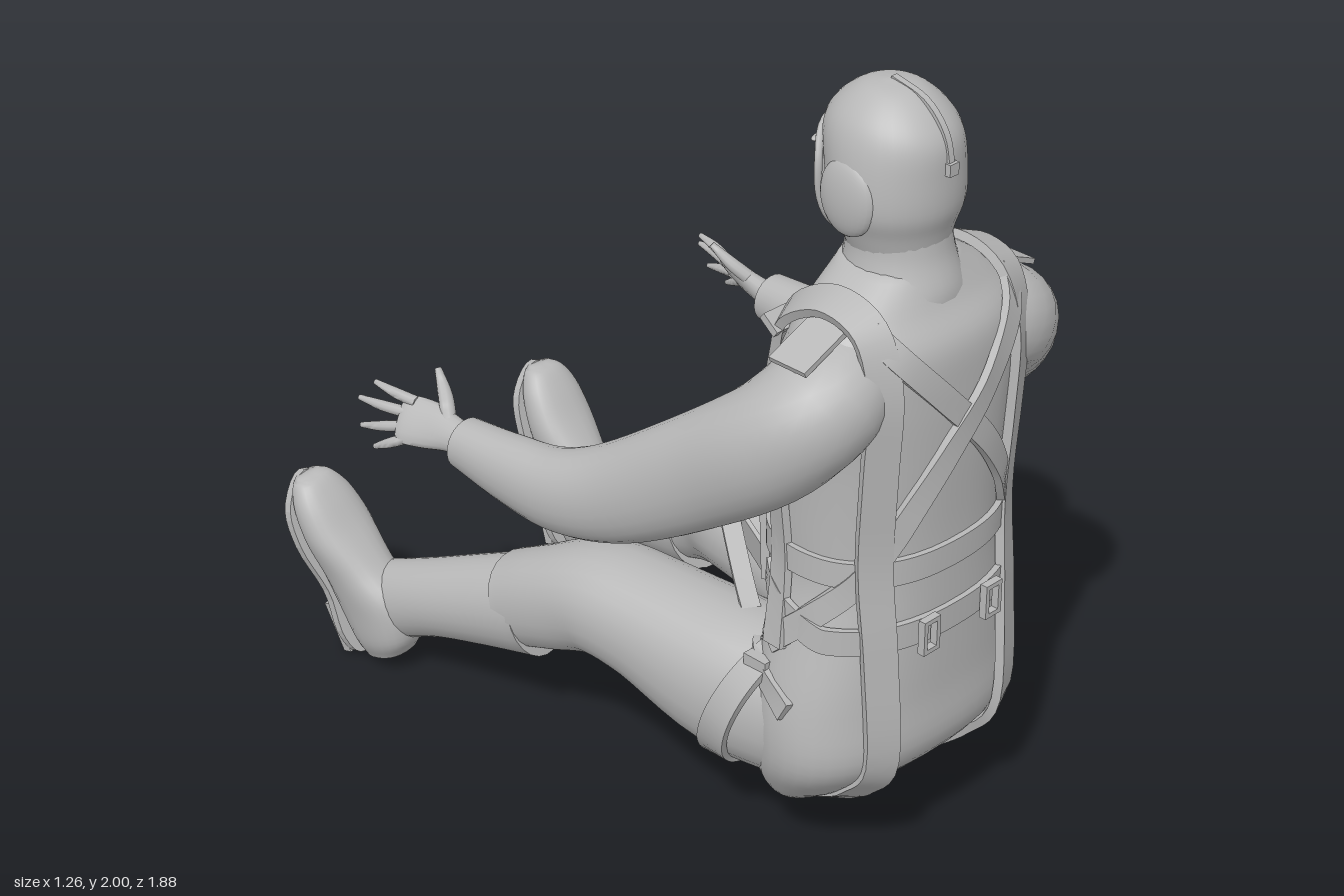
import * as THREE from 'three';
import { toCreasedNormals } from 'three/addons/utils/BufferGeometryUtils.js';

const V = (x, y, z) => new THREE.Vector3(x, y, z);
const Y = V(0, 1, 0), Z = V(0, 0, 1), DOWN = V(0, -1, 0);
const cloth = new THREE.MeshStandardMaterial({ color: 0xb8b8b8 });
cloth.name = 'plain grey';

// Skin a row of sections [x, y, z, halfWidth, halfHeight]; ref gives the height direction.
function loft(rows, { ref = Y, dir = null, seg = 24, n = 2, steps = 5 } = {}) {
  const mid = new THREE.CatmullRomCurve3(rows.map(r => V(r[0], r[1], r[2])), false, 'catmullrom');
  const size = new THREE.CatmullRomCurve3(rows.map(r => V(r[3], r[4], 0)), false, 'catmullrom');
  const count = (rows.length - 1) * steps, pos = [], idx = [];
  for (let i = 0; i <= count; i++) {
    const p = mid.getPoint(i / count), s = size.getPoint(i / count);
    const t = dir || mid.getTangent(i / count);
    const up = (typeof ref === 'function' ? ref(p) : ref.clone()).projectOnPlane(t).normalize();
    const side = up.clone().cross(t);
    for (let j = 0; j < seg; j++) {
      const a = (j + 0.5) / seg * Math.PI * 2, c = Math.cos(a), q = Math.sin(a);
      const v = p.clone()
        .addScaledVector(side, Math.sign(c) * Math.abs(c) ** (2 / n) * s.x)
        .addScaledVector(up, Math.sign(q) * Math.abs(q) ** (2 / n) * s.y);
      pos.push(v.x, v.y, v.z);
      if (i < count) {
        const k = i * seg + j, m = i * seg + (j + 1) % seg;
        idx.push(k, m, k + seg, m, m + seg, k + seg);
      }
    }
  }
  const end = (count + 1) * seg;
  for (const t of [0, 1]) pos.push(...mid.getPoint(t).toArray());
  for (let j = 0; j < seg; j++) {
    const m = (j + 1) % seg, b = count * seg;
    idx.push(end, m, j, end + 1, b + j, b + m);
  }
  const g = new THREE.BufferGeometry();
  g.setAttribute('position', new THREE.Float32BufferAttribute(pos, 3));
  g.setIndex(idx);
  return toCreasedNormals(g, 0.9);
}

// Torso sections, shoulders down to seat
const TORSO = [
  [0, 1.58, .69, .13, .12], [0, 1.5, .70, .25, .15], [0, 1.42, .71, .31, .19],
  [0, 1.3, .695, .33, .215], [0, 1.15, .685, .31, .225], [0, .95, .68, .298, .222],
  [0, .82, .685, .295, .217], [0, .7, .69, .32, .213], [0, .5, .69, .37, .213],
  [0, .34, .695, .375, .206], [0, .23, .645, .33, .165], [0, .15, .615, .26, .08],
  [0, .12, .625, .13, .03],
];
const NT = 2.3;
function torsoAt(y) {
  const i = Math.max(1, TORSO.findIndex(r => r[1] <= y));
  const p = TORSO[i - 1], q = TORSO[i], k = Math.min(1, Math.max(0, (p[1] - y) / (p[1] - q[1])));
  return p.map((v, j) => v + (q[j] - v) * k);
}
// Points on the torso surface: s = 1 on the back, -1 on the chest
function on(x, y, s, off = .01) {
  const [, , zc, a, b] = torsoAt(y);
  const k = Math.min(1, Math.abs(x) / a);
  return [x, y, zc + s * (b * (1 - k ** NT) ** (1 / NT) + off)];
}
function around(deg, y, off = .006) {
  const [, , zc, a, b] = torsoAt(y), r = deg * Math.PI / 180, c = Math.cos(r), q = Math.sin(r);
  return [Math.sign(c) * Math.abs(c) ** (2 / NT) * (a + off), y,
    zc + Math.sign(q) * Math.abs(q) ** (2 / NT) * (b + off)];
}
const outward = p => V(p.x * .6, p.y - Math.min(p.y, 1.3), p.z - .68);
const backOrFront = p => V(p.x * .4, p.y - Math.min(1.3, Math.max(.35, p.y)), p.z - .68);

export function createModel() {
  const root = new THREE.Group();
  root.name = 'seatedFigure';
  const add = (name, geo, parent = root) => {
    const m = new THREE.Mesh(geo, cloth);
    m.name = name;
    parent.add(m);
    return m;
  };
  const strap = (name, pts, w = .035, ref = outward, h = .01) =>
    add(name, loft(pts.map(p => [...p, w, h]), { ref, seg: 4, n: 20 }));
  const box = (name, size, at, rot = [0, 0, 0], parent = root) => {
    const m = add(name, new THREE.BoxGeometry(...size), parent);
    m.position.set(...at);
    m.rotation.set(...rot);
    return m;
  };
  const ball = (name, at, size) => {
    const m = add(name, new THREE.SphereGeometry(1, 24, 16));
    m.position.set(...at);
    m.scale.set(...size);
    return m;
  };
  const tube = (name, pts, r) => add(name, new THREE.TubeGeometry(
    new THREE.CatmullRomCurve3(pts.map(p => V(...p)), true), 40, r, 8, true));
  const down = { ref: Z, dir: DOWN };

  // Body and collar
  add('torso', loft(TORSO, { ...down, seg: 40, n: NT }));
  add('collar', loft([[0, 1.67, .69, .125, .118], [0, 1.6, .695, .128, .125],
    [0, 1.53, .70, .15, .145], [0, 1.48, .70, .2, .15]], down));

  // Helmet and face
  add('helmet', loft([[0, 1.995, .66, .012, .012], [0, 1.98, .66, .07, .075], [0, 1.935, .66, .122, .133],
    [0, 1.88, .665, .15, .163], [0, 1.8, .675, .163, .16], [0, 1.72, .682, .162, .152],
    [0, 1.66, .685, .14, .132], [0, 1.6, .69, .118, .115]], { ...down, seg: 32 }));
  add('face', loft([[0, 1.89, .57, .08, .055], [0, 1.84, .57, .105, .088], [0, 1.79, .57, .108, .09],
    [0, 1.73, .57, .107, .094], [0, 1.68, .57, .092, .097], [0, 1.63, .56, .065, .085],
    [0, 1.598, .55, .03, .045]], down));
  add('nose', loft([[0, 1.81, .49, .01, .012], [0, 1.77, .476, .014, .02],
    [0, 1.735, .467, .02, .025], [0, 1.718, .471, .02, .019], [0, 1.708, .482, .012, .01]], { ...down, seg: 12 }));
  for (const [y, w] of [[1.677, .034], [1.664, .028]]) ball('lip', [0, y, .478], [w, .008, .011]);
  tube('helmetRim', [[0, 1.875, .505], [.075, 1.86, .52], [.117, 1.8, .548], [.117, 1.71, .553],
    [.09, 1.645, .56], [0, 1.592, .545], [-.09, 1.645, .56], [-.117, 1.71, .553],
    [-.117, 1.8, .548], [-.075, 1.86, .52]], .01);
  strap('helmetCrest', [[0, 1.993, .66], [0, 1.967, .755], [0, 1.905, .815], [0, 1.82, .837]],
    .009, p => V(0, p.y - 1.82, p.z - .665), .008);
  box('crestBuckle', [.03, .03, .02], [0, 1.83, .838]);

  for (const s of [-1, 1]) {
    ball('earCup', [s * .145, 1.75, .665], [.032, .095, .08]);
    ball('eye', [s * .042, 1.785, .492], [.02, .01, .012]);
    ball('brow', [s * .045, 1.81, .49], [.032, .009, .014]);

    // Sleeves
    add('arm', loft([[s * .19, 1.37, .73, .13, .12], [s * .305, 1.31, .735, .148, .138],
      [s * .385, 1.21, .655, .13, .145], [s * .443, 1.085, .48, .1, .138],
      [s * .485, .965, .28, .092, .125], [s * .518, .915, .12, .085, .108],
      [s * .53, .91, -.04, .075, .09], [s * .538, .92, -.21, .062, .066]], { n: 2.1 }));

    // Hand: tilted palm, four fingers and a thumb
    const flat = V(s * .8, .55, 0);
    add('palm', loft([[s * .535, .92, -.2, .042, .034], [s * .54, .925, -.25, .045, .03],
      [s * .552, .928, -.32, .06, .024], [s * .572, .927, -.385, .062, .017],
      [s * .578, .926, -.405, .05, .012]], { ref: flat, seg: 16 }));
    const fingers = [[.545, .967, -.38, .57, .985, -.505], [.565, .94, -.395, .598, .94, -.535],
      [.58, .91, -.39, .612, .875, -.515], [.592, .887, -.37, .622, .842, -.455]];
    for (const [x, y, z, X, Q, W] of fingers)
      add('finger', loft([[s * x, y, z, .016, .014],
        [s * (x + X) / 2 + s * .004, (y + Q) / 2, (z + W) / 2, .014, .013],
        [s * X, Q, W, .007, .007]], { seg: 10 }));
    add('thumb', loft([[s * .535, .945, -.27, .02, .02], [s * .502, .99, -.32, .019, .017],
      [s * .478, 1.038, -.372, .009, .008]], { seg: 10 }));

    // Legs spread a little unevenly
    const L = s < 0;
    const hip = [[.2, .40, .64, .17, .19], [.235, .41, .42, .175, .195]];
    const thigh = L
      ? [[.265, .455, .17, .158, .155], [.285, .46, .01, .15, .143], [.318, .41, -.13, .123, .135], [.33, .36, -.25, .115, .125]]
      : [[.235, .455, .17, .172, .155], [.245, .46, .01, .165, .143], [.268, .41, -.13, .13, .135], [.27, .36, -.25, .112, .125]];
    const flip = r => [s * r[0], ...r.slice(1)];
    add('thigh', loft([...hip, ...thigh].map(flip), { n: 2.2 }));
    const bx = L ? [.325, .352, .385, .408, .415] : [.27, .28, .297, .313, .32];
    add('bootShaft', loft([[bx[0], .36, -.2, .118, .14], [bx[1], .315, -.35, .108, .124],
      [bx[2], .26, -.52, .094, .108], [bx[3], .2, -.67, .083, .108],
      [bx[4], .17, -.77, .075, .1]].map(flip)));

    // Boot foot, heel down and toe up, with the sole facing forward
    const foot = new THREE.Group();
    foot.name = 'bootFoot';
    foot.position.set(L ? -.415 : .325, .016, -.757);
    foot.rotation.set(-.3, 0, L ? .15 : -.02);
    root.add(foot);
    add('bootUpper', loft([[0, .005, .08, .06, .075], [0, .06, .1, .078, .105], [0, .16, .1, .08, .12],
      [0, .26, .075, .084, .092], [0, .37, .052, .095, .067], [0, .46, .035, .085, .052],
      [0, .515, .022, .06, .038], [0, .535, .01, .035, .02]], { ref: Z, dir: Y, n: 2.4 }), foot);
    const shape = new THREE.Shape();
    shape.setFromPoints(new THREE.CatmullRomCurve3([V(-.05, .005, 0), V(.05, .005, 0), V(.078, .07, 0),
      V(.07, .2, 0), V(.097, .36, 0), V(.082, .47, 0), V(0, .54, 0), V(-.082, .47, 0), V(-.097, .36, 0),
      V(-.07, .2, 0), V(-.078, .07, 0)], true).getPoints(48).map(p => new THREE.Vector2(p.x, p.y)));
    add('sole', new THREE.ExtrudeGeometry(shape, { depth: .025, bevelEnabled: false }), foot).position.z = -.025;
    box('heel', [.13, .15, .03], [0, .085, -.038], [0, 0, 0], foot);

    // Harness: long strap over each shoulder and under the seat
    const x = s * .235;
    strap('shoulderStrap', [on(s * .2, .72, -1), on(s * .2, 1, -1), on(s * .21, 1.2, -1),
      on(s * .225, 1.36, -1), [x, 1.47, .58], [x, 1.535, .7], [x, 1.5, .82], on(x, 1.36, 1, .016),
      on(x, 1.15, 1, .016), on(s * .23, .9, 1, .016), on(s * .225, .65, 1, .014), on(s * .22, .36, 1, .012),
      on(s * .21, .24, 1, .012), on(s * .18, .16, 1, .012)], .045, backOrFront, .012);
    strap('backCrossStrap', [[s * .235, 1.5, .82], on(s * .18, 1.42, 1), on(s * .06, 1.29, 1, .01 + s * .004),
      on(-s * .06, 1.16, 1), on(-s * .15, 1.04, 1), on(-s * .2, .95, 1),
      around(90 + s * 55, .85), around(90 + s * 80, .75), around(90 + s * 105, .64)], .032);
    strap('sideStrap', [around(90 - s * 105, 1.04), around(90 - s * 103, .85),
      around(90 - s * 100, .64)], .035);
    strap('hipStrap', [around(90 - s * 85, .5), around(90 - s * 115, .56),
      around(90 - s * 145, .55), around(90 - s * 178, .52)], .03);
    box('shoulderBuckle', [.1, .055, .02], [s * .235, 1.44, .56], [-.9, 0, 0]);
    box('sideBuckle', [.03, .06, .07], [s * .345, .56, .6]);

    // Shoulder tab
    box('epaulet', [.2, .014, .11], [s * .3, 1.475, .72], [0, 0, -s * .4]);

    // Loop round the upper thigh
    const loop = [];
    for (let i = 0; i <= 12; i++) {
      const a = i / 12 * Math.PI * 2;
      loop.push([s * .235 + .178 * Math.cos(a), .405 + .2 * Math.sin(a), .53 + .08 * Math.sin(a)]);
    }
    strap('thighStrap', loop, .04, p => V(p.x - s * .235, p.y - .405, 0), .01);

    // Loose strap ends standing out over the lap, one edge-on and one turned flat
    strap('lapFlap', L ? [[-.1, .5, .54], [-.09, .65, .37], [-.08, .79, .18]]
      : [[.05, .5, .54], [.05, .65, .38], [.045, .78, .21]], .05, () => L ? V(1, .25, .2) : V(-.6, .5, .4), .006);
    strap('lapTie', [on(s * .2, .95, -1), [s * .14, .88, .34], [s * .07, .79, .19]], .025, () => Y.clone(), .006);
    strap('lapBrace', [[s * .27, .52, .56], [s * .2, .62, .42], [s * .09, .76, .24]], .025, () => Y.clone(), .006);

    // Back buckle frame
    for (const d of [-.022, .022]) box('buckleBar', [.012, .09, .02], [s * .11 + d, .695, .925]);
    for (const d of [-.04, .04]) box('buckleBar', [.056, .012, .02], [s * .11, .695 + d, .925]);
  }

  // Belts: waistband, back belt and chest strap
  const belt = (name, from, to, y) => {
    const pts = [];
    for (let i = 0; i <= 24; i++) {
      const d = from + (to - from) * i / 24;
      pts.push(around(d, y(Math.sin(d * Math.PI / 180))));
    }
    return strap(name, pts, .035, outward, .008);
  };
  belt('waistband', 0, 360, () => .875);
  belt('backBelt', -35, 215, q => .7 + .1 * Math.max(0, .25 - q));
  strap('chestStrap', [-.23, -.1, 0, .1, .23].map(x => on(x, 1.17, -1)), .025);
  box('chestBuckle', [.07, .06, .03], on(0, 1.17, -1, .012));
  return root;
}
